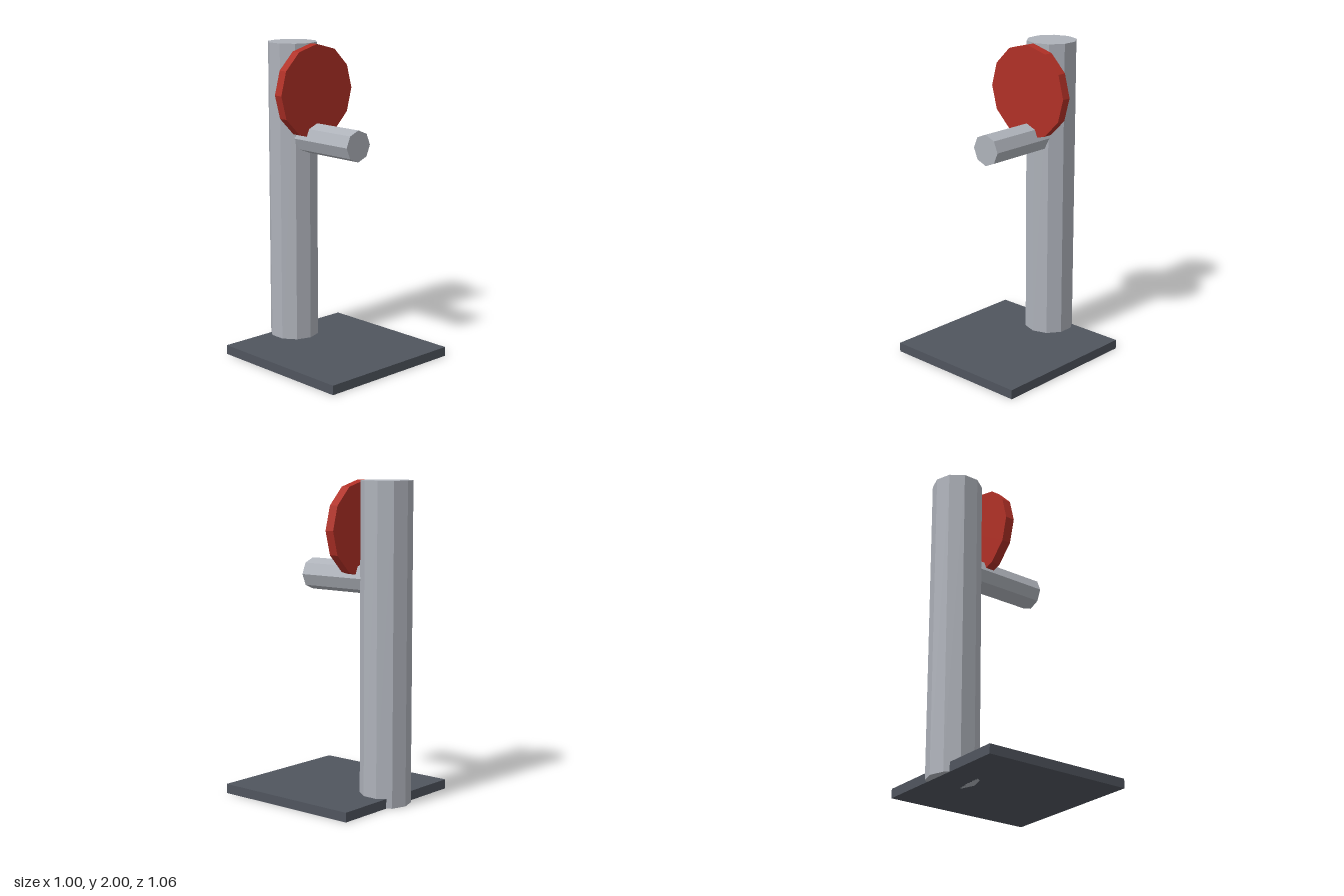
import * as THREE from 'three';

function material(name, color) {
  const m = new THREE.MeshStandardMaterial({ color, flatShading: true });
  m.name = name;
  return m;
}

export function createModel() {
  const model = new THREE.Group();
  model.name = 'postWithDisc';
  const grey = material('light grey metal', 0xaeb2ba);
  const slate = material('dark slate', 0x50555e);
  const red = material('red', 0xb03026);

  const add = (name, geometry, mat, x, y, z) => {
    const mesh = new THREE.Mesh(geometry, mat);
    mesh.name = name;
    mesh.position.set(x, y, z);
    model.add(mesh);
    return mesh;
  };
  // low-poly prism, optionally laid along z
  const prism = (radius, length, sides, alongZ = false) => {
    const g = new THREE.CylinderGeometry(radius, radius, length, sides);
    return alongZ ? g.rotateX(Math.PI / 2) : g;
  };

  // square foot plate, with the post overhanging its rear edge
  add('basePlate', new THREE.BoxGeometry(1, 0.06, 1), slate, 0, 0.03, 0.03);
  add('post', prism(0.16, 2, 10), grey, 0, 1, -0.37);

  // forward arm and the upright disc above it
  add('arm', prism(0.1, 0.6, 8, true), grey, 0, 1.4, -0.07);
  add('disc', prism(0.3, 0.06, 12, true), red, 0, 1.7, -0.17);

  return model;
}
